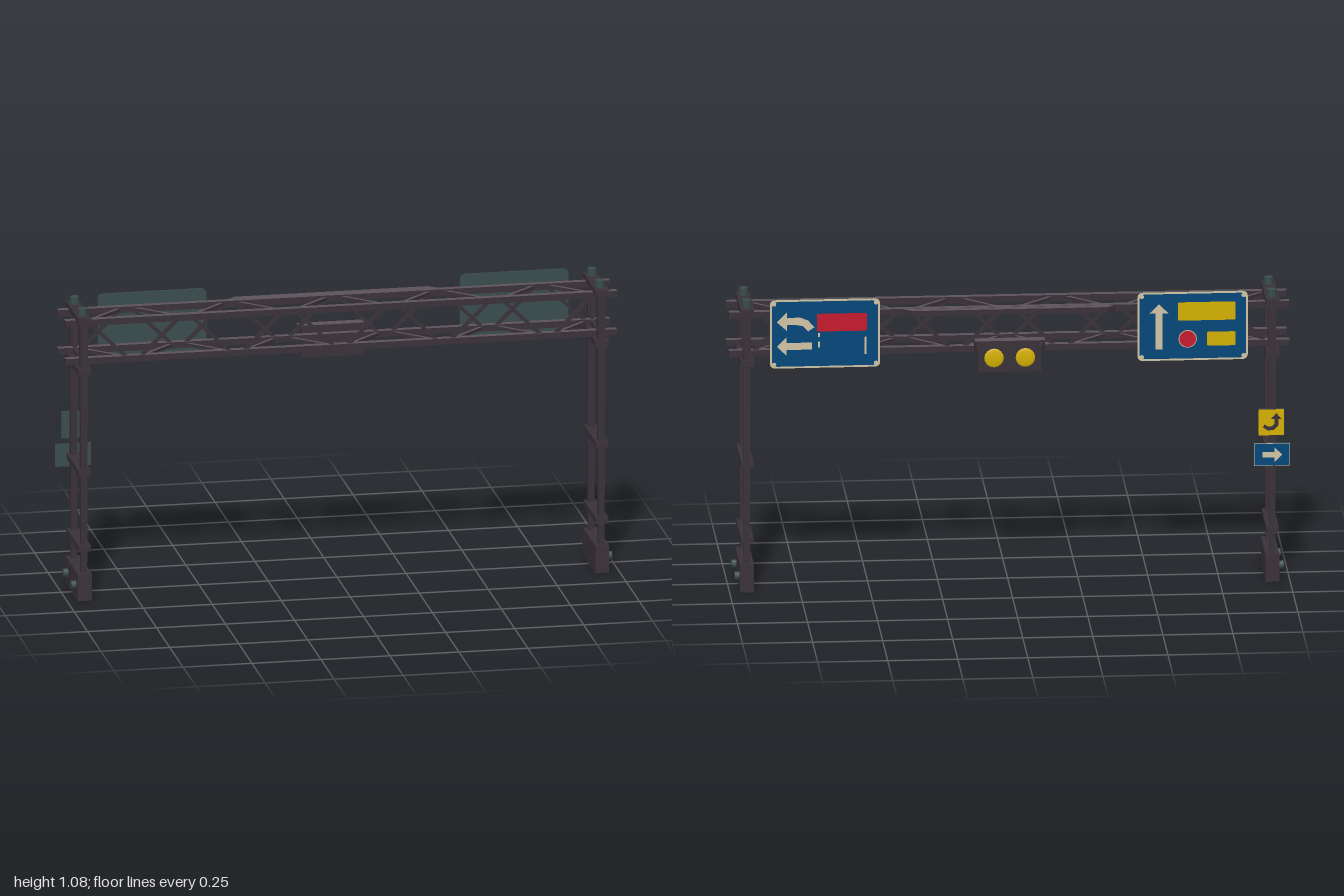
import * as THREE from 'three';

const mat = (name, color) => {
  const m = new THREE.MeshStandardMaterial({ color });
  m.name = name;
  return m;
};

export function createModel() {
  const steel = mat('dark steel', 0x393138);
  const worn = mat('worn steel', 0x5c525a);
  const teal = mat('teal metal', 0x3a4c4c);
  const blue = mat('sign blue', 0x00467a);
  const cream = mat('sign cream', 0xd2c5a6);
  const yellow = mat('warning yellow', 0xd4b000);
  const red = mat('sign red', 0xc4182c);
  // Box faces with a worn upper side
  const wornTop = [steel, steel, worn, steel, steel, steel];

  const model = new THREE.Group();
  model.name = 'signGantry';

  const add = (parent, name, geo, material, x = 0, y = 0, z = 0) => {
    const m = new THREE.Mesh(geo, material);
    m.name = name;
    m.position.set(x, y, z);
    parent.add(m);
    return m;
  };
  const box = (parent, name, material, w, h, d, x, y, z) =>
    add(parent, name, new THREE.BoxGeometry(w, h, d), material, x, y, z);
  // Square bar running between two points
  const bar = (parent, name, material, a, b, t) => {
    const p = new THREE.Vector3(...a), q = new THREE.Vector3(...b);
    const m = add(parent, name, new THREE.BoxGeometry(t, t, p.distanceTo(q)), material);
    m.position.copy(p).add(q).multiplyScalar(0.5);
    m.lookAt(q);
    return m;
  };
  const group = name => {
    const g = new THREE.Group();
    g.name = name;
    model.add(g);
    return g;
  };

  // Legs: footing, two tapered posts, rungs and bolts
  const legX = 0.9375, midZ = 0.004;
  for (const s of [-1, 1]) {
    const leg = group(s > 0 ? 'leftLeg' : 'rightLeg');
    const x = s * legX;
    box(leg, 'footing', steel, 0.05, 0.1, 0.238, x, 0.05, midZ);
    for (const pz of [0.099, -0.091]) {
      const post = new THREE.CylinderGeometry(0.0195, 0.0155, 0.94, 4).toNonIndexed();
      post.rotateY(Math.PI / 4);
      post.computeVertexNormals();
      add(leg, 'post', post, steel, x, 0.565, pz);
    }
    for (const [y, h, w] of [[0.193, 0.022, 0.044], [0.473, 0.022, 0.044], [0.848, 0.024, 0.048], [1.036, 0.024, 0.048]])
      box(leg, 'rung', steel, w, h, 0.238, x, y, midZ);
    for (const bz of [0.08, -0.071]) {
      add(leg, 'topCap', new THREE.CylinderGeometry(0.017, 0.017, 0.03, 8), teal, x, 1.06, bz);
      const bolt = add(leg, 'footingBolt', new THREE.CylinderGeometry(0.016, 0.016, 0.018, 8), teal, x + s * 0.033, 0.05, bz);
      bolt.rotation.z = Math.PI / 2;
    }
  }

  // Truss: four chords, end frames and zigzag lacing on every face
  const truss = group('truss');
  const zs = 0.068, yLow = 0.877, yTop = 1.019;
  for (const z of [-zs, zs])
    for (const y of [yLow, yTop]) box(truss, 'chord', wornTop, 2, 0.023, 0.024, 0, y, z);
  for (const x of [-legX, legX]) {
    for (const z of [-zs, zs]) bar(truss, 'endUpright', steel, [x, yLow, z], [x, yTop, z], 0.014);
    for (const y of [yLow, yTop - 0.005]) bar(truss, 'endCross', steel, [x, y, -zs], [x, y, zs], 0.014);
  }
  const cell = 0.1875, half = 0.073;
  for (let i = 0; i < 10; i++) {
    const c = -legX + (i + 0.5) * cell;
    const d = i % 2 ? half : -half;
    for (const s of [-1, 1]) {
      bar(truss, 'sideLacing', steel, [c - s * d, yLow, s * zs], [c + s * d, yTop, s * zs], 0.012);
      const y = s > 0 ? yTop : yLow;
      bar(truss, 'flatLacing', wornTop, [c - s * d, y, -zs], [c + s * d, y, zs], 0.012);
    }
  }

  // Tapered ledge along the top rear chord
  const shapeOf = pts => new THREE.Shape(pts.map(p => new THREE.Vector2(...p)));
  const extrude = (shape, depth) =>
    new THREE.ExtrudeGeometry(shape, { depth, bevelEnabled: false, curveSegments: 6 });
  const ledge = extrude(shapeOf([[-0.39, 0.07], [0.39, 0.07], [0.35, 0.107], [-0.35, 0.107]]), 0.02);
  ledge.rotateX(-Math.PI / 2);
  add(model, 'rearLedge', ledge, [worn, steel], 0, yTop - 0.009, 0);

  // Groups facing the rear: local +x is the reader's right, local +z points backwards
  const rearGroup = (name, x, y, z) => {
    const g = group(name);
    g.position.set(x, y, z);
    g.rotation.y = Math.PI;
    return g;
  };
  const rounded = (w, h, r) => {
    const s = new THREE.Shape(), a = w / 2, b = h / 2;
    s.moveTo(-a + r, -b);
    s.lineTo(a - r, -b).quadraticCurveTo(a, -b, a, -b + r);
    s.lineTo(a, b - r).quadraticCurveTo(a, b, a - r, b);
    s.lineTo(-a + r, b).quadraticCurveTo(-a, b, -a, b - r);
    s.lineTo(-a, -b + r).quadraticCurveTo(-a, -b, -a + r, -b);
    return s;
  };
  // Flat painted face
  const paint = (parent, name, material, shape, z, x = 0, y = 0) =>
    add(parent, name, new THREE.ShapeGeometry(shape, 8), material, x, y, z);
  const arrow = (len, head, t) => shapeOf([
    [0, 0], [-head, head], [-head, t], [-len, t], [-len, -t], [-head, -t], [-head, -head]]);
  const disc = r => new THREE.Shape().absarc(0, 0, r, 0, Math.PI * 2);
  // Panel with a metal back and a coloured face inside a border
  const faceZ = 0.0075, markZ = 0.009;
  const panel = (name, w, h, r, rim, rimMat, face, x, y, z) => {
    const g = rearGroup(name, x, y, z);
    add(g, 'backing', extrude(rounded(w, h, r), 0.006), teal);
    paint(g, 'border', rimMat, rounded(w, h, r), 0.0065);
    paint(g, 'face', face, rounded(w - 2 * rim, h - 2 * rim, r), faceZ);
    return g;
  };

  // Large sign with turning lanes
  const laneSign = panel('laneSign', 0.394, 0.254, 0.022, 0.007, cream, blue, 0.658, 0.948, -0.081);
  paint(laneSign, 'curvedArrow', cream, shapeOf([
    [-0.172, 0.045], [-0.135, 0.084], [-0.135, 0.06], [-0.09, 0.062], [-0.06, 0.05], [-0.038, 0.024],
    [-0.06, 0.01], [-0.08, 0.03], [-0.105, 0.034], [-0.135, 0.034], [-0.135, 0.012]]), markZ);
  paint(laneSign, 'straightArrow', cream, arrow(0.125, 0.035, 0.013), markZ, -0.172, -0.045).rotation.z = Math.PI;
  paint(laneSign, 'redBand', red, rounded(0.178, 0.066, 0.004), markZ, 0.06, 0.041);
  for (const [u, v, h] of [[-0.022, -0.005, 0.014], [-0.022, -0.04, 0.022], [0.145, -0.047, 0.065]])
    paint(laneSign, 'laneMark', cream, rounded(0.007, h, 0.001), markZ, u, v);

  // Large sign with straight lane
  const aheadSign = panel('aheadSign', 0.394, 0.254, 0.022, 0.007, cream, blue, -0.654, 0.948, -0.081);
  paint(aheadSign, 'upArrow', cream, arrow(0.168, 0.034, 0.013), markZ, -0.12, 0.083).rotation.z = Math.PI / 2;
  paint(aheadSign, 'yellowBand', yellow, rounded(0.206, 0.068, 0.006), markZ, 0.05, 0.055);
  paint(aheadSign, 'smallYellowBand', yellow, rounded(0.102, 0.052, 0.006), markZ, 0.102, -0.048);
  paint(aheadSign, 'discRim', cream, disc(0.033), markZ, -0.018, -0.047);
  paint(aheadSign, 'redDisc', red, disc(0.03), markZ + 0.001, -0.018, -0.047);

  // Corner rivets of the large signs
  for (const g of [laneSign, aheadSign])
    for (const u of [-0.182, 0.182])
      for (const v of [-0.112, 0.112]) paint(g, 'rivet', cream, disc(0.008), markZ, u, v);

  // Small signs on the right rear post
  const bendSign = panel('bendSign', 0.094, 0.1, 0.003, 0.002, steel, yellow, -0.933, 0.59, -0.1);
  paint(bendSign, 'bendArrow', steel, shapeOf([
    [-0.03, -0.018], [-0.012, -0.03], [0.01, -0.028], [0.026, -0.01], [0.026, 0.012], [0.037, 0.012],
    [0.018, 0.034], [-0.002, 0.012], [0.011, 0.012], [0.011, -0.005], [0.003, -0.014], [-0.01, -0.016],
    [-0.024, -0.007]]), markZ);
  const rightSign = panel('rightSign', 0.13, 0.084, 0.003, 0.002, cream, blue, -0.935, 0.474, -0.113);
  paint(rightSign, 'rightArrow', cream, arrow(0.07, 0.027, 0.01), markZ, 0.036, 0);

  // Twin warning lamps under a gusseted hood
  const lamps = rearGroup('warningLamps', 0, 0.855, -0.08);
  box(lamps, 'housing', steel, 0.227, 0.114, 0.025, 0, -0.001, 0.0125);
  box(lamps, 'hoodTop', wornTop, 0.25, 0.008, 0.04, 0, 0.057, 0.02);
  for (const x of [-0.125, 0.117]) {
    const gusset = extrude(shapeOf([[0, 0.06], [0, 0.01], [-0.026, 0.01], [-0.04, 0.06]]), 0.008);
    gusset.rotateY(Math.PI / 2);
    add(lamps, 'hoodGusset', gusset, steel, x, 0, 0);
  }
  for (const x of [-0.056, 0.056]) {
    const lens = new THREE.SphereGeometry(0.035, 16, 6, 0, Math.PI * 2, 0, Math.PI / 2);
    lens.rotateX(Math.PI / 2);
    lens.scale(1, 1, 0.15);
    add(lamps, 'lens', lens, yellow, x, -0.006, 0.0252);
  }
  return model;
}
